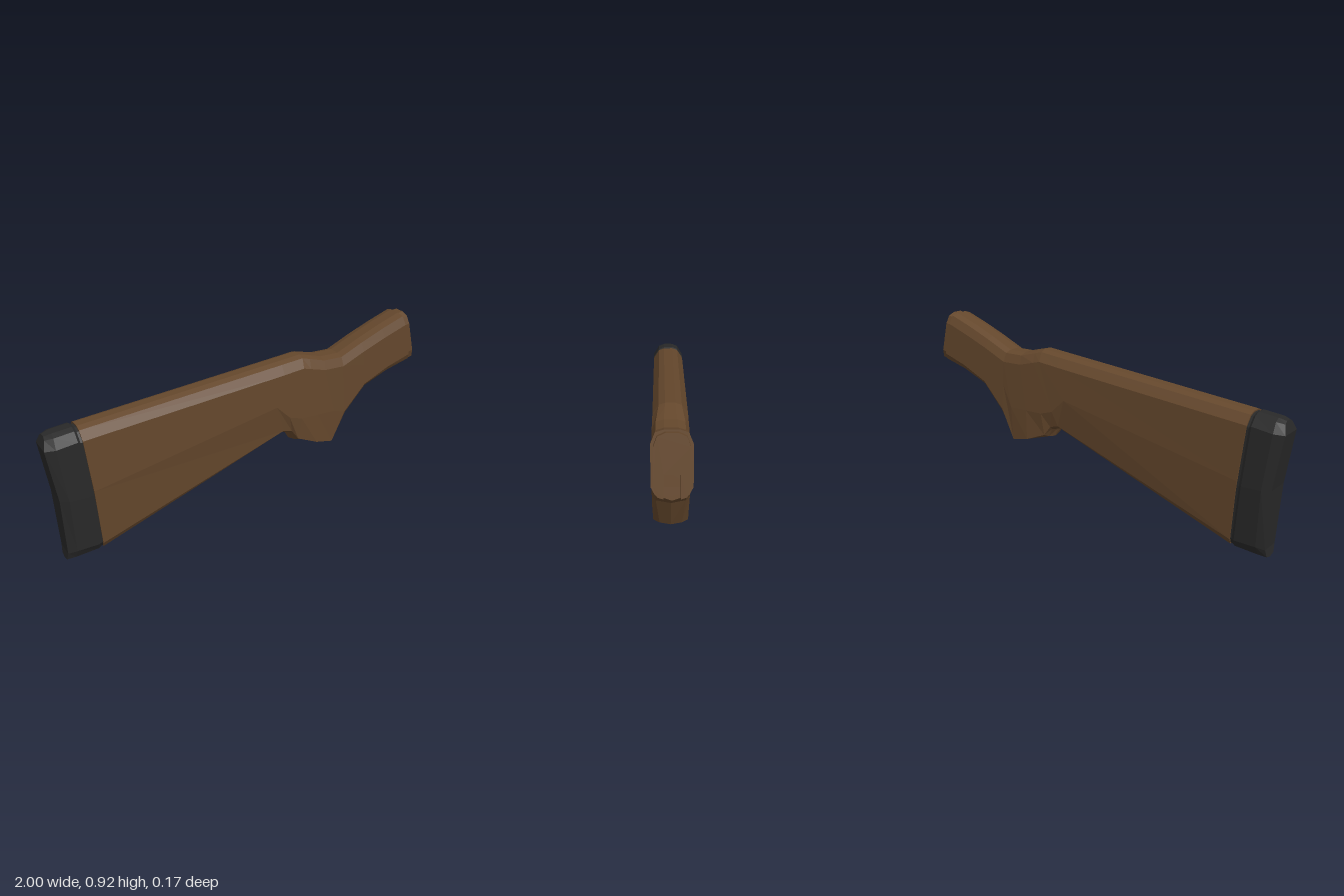
import * as THREE from 'three';

const mix = (a, b, t) => [a[0] + (b[0] - a[0]) * t, a[1] + (b[1] - a[1]) * t];

// Half outline of one section from the crown down to the keel.
// T top, M side bulge, L lower side edge, B keel; z holds the half widths.
function halfSection({ T, U, M, L, B, z, keel = 0.6 }) {
  const len = Math.hypot(L[0] - T[0], L[1] - T[1]);
  const edge = U || mix(T, L, 0.055 / len);
  const mid = M || mix(T, L, 0.55);
  const points = [
    [T, z[0] * 0.45], [mix(T, edge, 0.2), z[0]], [edge, z[1]],
    [mid, z[2]], [L, z[3]], [mix(L, B, keel), z[4]], [B, 0],
  ];
  return points.map(([p, w]) => new THREE.Vector3(p[0], p[1], w));
}

// Flat-shaded mirrored loft through sections listed from back to front.
function loft(sections) {
  const halves = sections.map(halfSection);
  const flip = (p) => new THREE.Vector3(p.x, p.y, -p.z);
  const rings = halves.map((h) => [...h, ...h.slice(0, -1).reverse().map(flip)]);
  const pos = [];
  const tri = (...ps) => ps.forEach((p) => pos.push(p.x, p.y, p.z));
  const quad = (a, b, c, d) => { tri(a, b, c); tri(a, c, d); };
  const n = rings[0].length;
  for (let i = 0; i < rings.length - 1; i++) {
    for (let j = 0; j < n; j++) {
      const k = (j + 1) % n;
      quad(rings[i][j], rings[i][k], rings[i + 1][k], rings[i + 1][j]);
    }
  }
  // End caps, built as strips between the two sides
  const back = halves[0], front = halves[halves.length - 1];
  for (let k = 0; k < back.length - 1; k++) {
    const last = k === back.length - 2;
    const f = [front[k], front[k + 1], flip(front[k + 1]), flip(front[k])];
    const b = [flip(back[k]), flip(back[k + 1]), back[k + 1], back[k]];
    if (last) {
      tri(f[0], f[1], f[3]);
      tri(b[0], b[1], b[3]);
    } else {
      quad(...f);
      quad(...b);
    }
  }
  const geo = new THREE.BufferGeometry();
  geo.setAttribute('position', new THREE.Float32BufferAttribute(pos, 3));
  geo.computeVertexNormals();
  return geo;
}

export function createModel() {
  const group = new THREE.Group();
  const wood = new THREE.MeshStandardMaterial({ name: 'walnut brown', color: 0x64472c });
  const rubber = new THREE.MeshStandardMaterial({ name: 'black rubber', color: 0x292929 });
  const add = (name, geo, mat) => {
    const mesh = new THREE.Mesh(geo, mat);
    mesh.name = name;
    group.add(mesh);
    return mesh;
  };

  // Wooden body: butt, comb, grip and neck
  const neck = [0.065, 0.083, 0.083, 0.083, 0.066];
  add('woodenStock', loft([
    { T: [-0.835, 0.675], M: [-0.797, 0.36], L: [-0.767, 0.065], B: [-0.76, 0.028], z: [0.052, 0.08, 0.084, 0.065, 0.045], keel: 0.8 },
    { T: [0.2, 0.787], M: [0.16, 0.57], L: [0.212, 0.425], B: [0.22, 0.4], z: [0.052, 0.08, 0.084, 0.066, 0.045] },
    { T: [0.32, 0.8], M: [0.235, 0.5], L: [0.26, 0.412], B: [0.265, 0.385], z: [0.052, 0.08, 0.084, 0.066, 0.045] },
    { T: [0.36, 0.79], M: [0.305, 0.48], L: [0.295, 0.365], B: [0.28, 0.345], z: [0.056, 0.081, 0.085, 0.072, 0.045] },
    { T: [0.44, 0.77], M: [0.4, 0.48], L: [0.4, 0.326], B: [0.4, 0.323], z: [0.065, 0.083, 0.086, 0.084, 0.045] },
    { T: [0.5, 0.77], M: [0.5, 0.48], L: [0.497, 0.307], B: [0.53, 0.3], z: [0.065, 0.083, 0.085, 0.078, 0.05] },
    { T: [0.54, 0.77], L: [0.563, 0.46], B: [0.59, 0.44], z: neck },
    { T: [0.66, 0.826], L: [0.682, 0.592], B: [0.7, 0.565], z: neck },
    { T: [0.78, 0.877], L: [0.823, 0.66], B: [0.838, 0.62], z: neck },
    { T: [0.905, 0.924], L: [0.955, 0.705], B: [0.968, 0.653], z: neck },
  ]), wood);

  // Recoil pad with a stepped seam and a rounded, slightly hollow back
  const wide = [0.052, 0.08, 0.084, 0.065, 0.045];
  add('recoilPad', loft([
    { T: [-0.985, 0.654], U: [-1, 0.6], M: [-0.955, 0.34], L: [-0.936, 0.05], B: [-0.94, 0.002], z: [0.036, 0.06, 0.064, 0.05, 0.036], keel: 0.8 },
    { T: [-0.95, 0.664], U: [-0.952, 0.605], M: [-0.915, 0.34], L: [-0.895, 0.06], B: [-0.9, 0.008], z: wide, keel: 0.8 },
    { T: [-0.857, 0.675], L: [-0.787, 0.065], B: [-0.782, 0.022], z: wide, keel: 0.8 },
    { T: [-0.845, 0.668], L: [-0.775, 0.068], B: [-0.77, 0.03], z: wide.map((w) => w - 0.005), keel: 0.8 },
    { T: [-0.834, 0.668], L: [-0.764, 0.068], B: [-0.759, 0.032], z: wide.map((w) => w - 0.005), keel: 0.8 },
  ]), rubber);

  // Notched tenon on the slanted front end; shape y runs up the end face
  const side = [[0.033, 0.108], [0.033, 0.012], [0.058, 0.02], [0.072, 0.06],
    [0.072, 0.215], [0.058, 0.255], [0.025, 0.27]];
  const outline = [...side, ...side.slice().reverse().map(([x, y]) => [-x, y])];
  const shape = new THREE.Shape(outline.map(([x, y]) => new THREE.Vector2(x, y)));
  const tenon = add('frontTenon', new THREE.ExtrudeGeometry(shape, { depth: 0.034, bevelEnabled: false }), wood);
  const tilt = Math.atan2(0.063, 0.271);
  tenon.rotation.set(0, Math.PI / 2, tilt, 'ZYX');
  tenon.position.set(0.965, 0.653, 0);

  return group;
}
